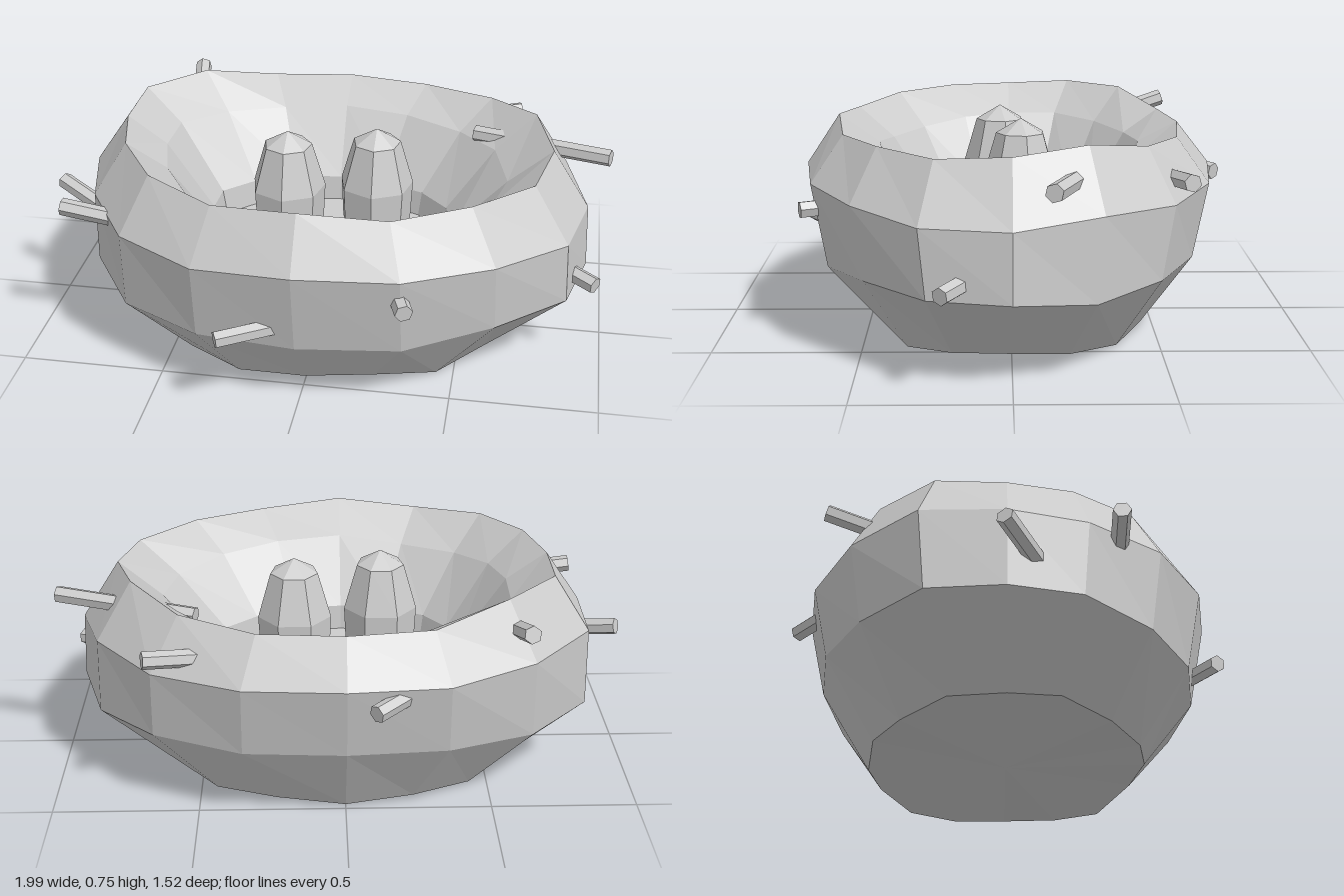
import * as THREE from 'three';

const SIDES = 16;

// Radial irregularity of the bowl, starting at +x and turning towards +z
const WOBBLE = [1.05, 1.06, 1.02, 1.02, 1.01, 1.01, 1, 0.96, 0.96, 1.03, 1.01, 1, 0.99, 1.01, 1.03, 1.035];

// Height offsets for the uneven rings
const BASE_DY = [0.02, 0.01, -0.02, 0.02, 0.01, -0.015, -0.01, 0.03, 0.02, 0.01, -0.01, 0, -0.015, 0, -0.015, 0];
const BELLY_DY = [0.02, 0.02, 0.02, -0.01, -0.01, -0.02, -0.02, 0.02, 0.02, 0.01, 0, 0.02, 0.03, 0.02, 0.02, 0];
const WALL_DY = [-0.02, -0.02, 0, 0.01, 0.02, -0.005, 0, 0.02, 0.03, 0.03, 0.02, 0.01, 0.02, 0.01, 0, 0.01];
const RIM_DY = [-0.01, -0.025, -0.02, -0.025, 0, -0.02, 0, 0.01, 0.01, 0.02, 0.02, -0.03, -0.03, -0.035, -0.02, 0.015];

// Rings from the underside, up the outer wall, over the rim and down to the floor
const RINGS = [
  { rx: 0, rz: 0, y: 0.02 },
  { rx: 0.61, rz: 0.485, y: 0.025, dy: BASE_DY },
  { rx: 0.885, rz: 0.66, y: 0.27, dy: BELLY_DY },
  { rx: 0.875, rz: 0.715, y: 0.535, dy: WALL_DY },
  { rx: 0.75, rz: 0.6, y: 0.73, dy: RIM_DY },
  { rx: 0.605, rz: 0.46, y: 0.61, dy: WALL_DY },
  { rx: 0.435, rz: 0.315, y: 0.4 },
  { rx: 0.42, rz: 0.305, y: 0.31 },
  { rx: 0, rz: 0, y: 0.31 },
];

function bowlGeometry() {
  const positions = [];
  const index = [];
  RINGS.forEach(({ rx, rz, y, dy }, r) => {
    for (let k = 0; k < SIDES; k++) {
      const a = (k / SIDES) * Math.PI * 2;
      positions.push(rx * WOBBLE[k] * Math.cos(a), y + (dy ? dy[k] : 0), rz * WOBBLE[k] * Math.sin(a));
      if (r === RINGS.length - 1) continue;
      const p = r * SIDES + k;
      const q = r * SIDES + ((k + 1) % SIDES);
      // skip the collapsed triangle at each centre point
      if (r < RINGS.length - 2) index.push(p, p + SIDES, q + SIDES);
      if (r > 0) index.push(p, q + SIDES, q);
    }
  });
  // the last band closes on the floor's centre point
  const geometry = new THREE.BufferGeometry();
  geometry.setAttribute('position', new THREE.Float32BufferAttribute(positions, 3));
  geometry.setIndex(index);
  geometry.computeVertexNormals();
  return geometry;
}

// Twigs: outer end, inner end
const TWIGS = [
  [[0.985, 0.65, -0.12], [0.5, 0.635, -0.28]],
  [[0.96, 0.33, 0.22], [0.6, 0.38, -0.03]],
  [[0.36, 0.46, 0.71], [0.27, 0.47, 0.45]],
  [[-0.25, 0.31, 0.73], [0.15, 0.34, 0.53]],
  [[-0.865, 0.55, 0.36], [-0.5, 0.5, 0.37]],
  [[-0.985, 0.455, -0.01], [-0.62, 0.36, 0.19]],
  [[-0.59, 0.7, -0.6], [-0.55, 0.62, -0.35]],
  [[-0.09, 0.5, -0.745], [-0.3, 0.52, -0.54]],
  [[0.655, 0.61, -0.57], [0.3, 0.58, -0.47]],
];

export function createModel() {
  const group = new THREE.Group();
  const grey = new THREE.MeshStandardMaterial({ color: 0xcccccc });
  grey.name = 'light grey';
  grey.flatShading = true;

  const add = (name, geometry) => {
    const mesh = new THREE.Mesh(geometry, grey);
    mesh.name = name;
    group.add(mesh);
    return mesh;
  };

  add('nestBowl', bowlGeometry());

  // Eggs standing upright on the floor
  const eggProfile = [[0, 0.27], [0.08, 0.29], [0.125, 0.38], [0.132, 0.53], [0.085, 0.69], [0, 0.74]]
    .map(([x, y]) => new THREE.Vector2(x, y));
  const eggGeometry = new THREE.LatheGeometry(eggProfile, 7);
  [[-0.135, 0.035], [0.17, -0.035]].forEach(([x, z], i) => {
    const egg = add(`egg${i + 1}`, eggGeometry);
    egg.position.set(x, 0, z);
  });

  // Twigs stuck through the wall
  const up = new THREE.Vector3(0, 1, 0);
  TWIGS.forEach(([outer, inner], i) => {
    const a = new THREE.Vector3(...inner);
    const b = new THREE.Vector3(...outer);
    const twig = add(`twig${i + 1}`, new THREE.CylinderGeometry(0.03, 0.03, a.distanceTo(b), 6));
    twig.position.copy(a).add(b).multiplyScalar(0.5);
    twig.quaternion.setFromUnitVectors(up, b.sub(a).normalize());
  });

  return group;
}
